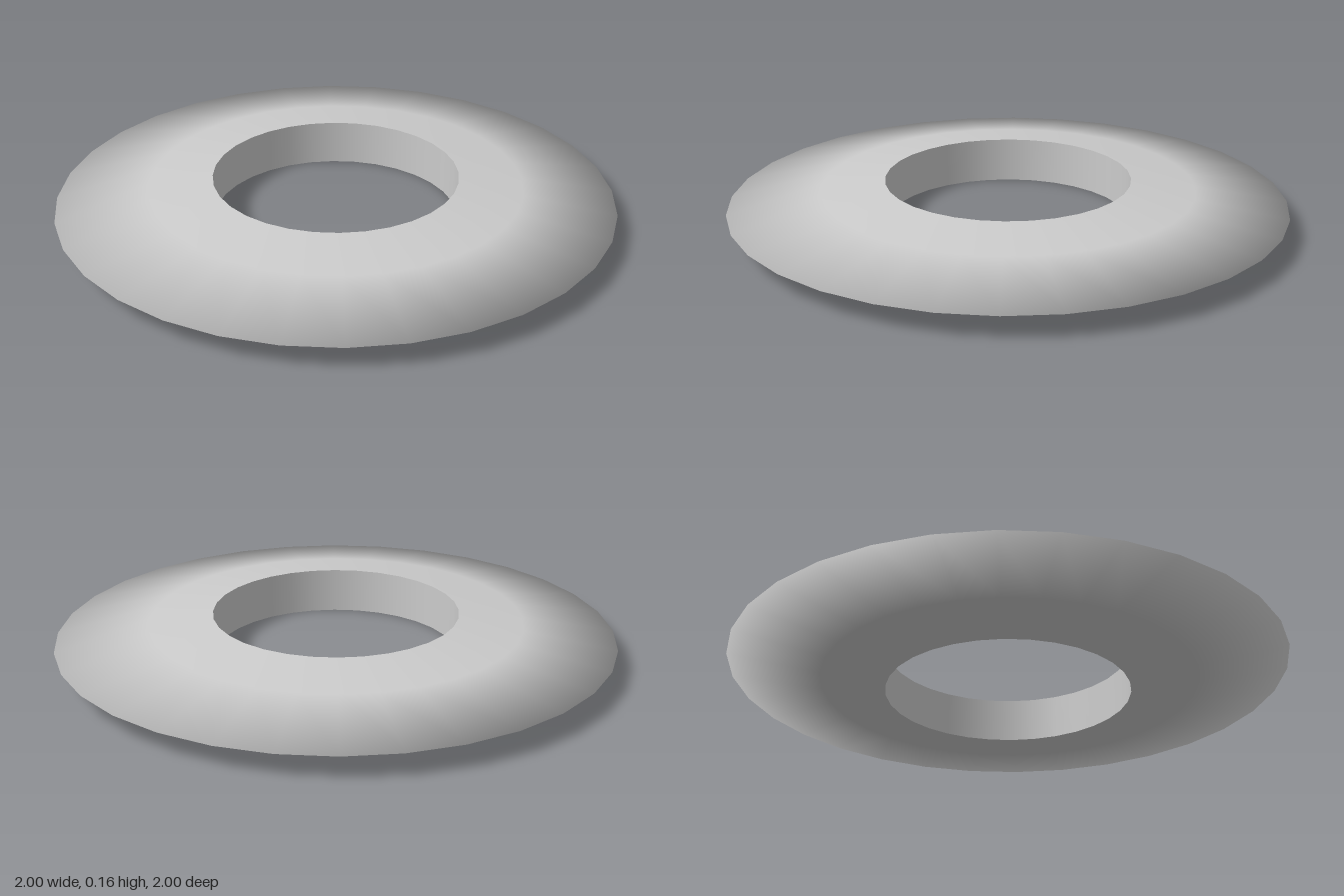
import * as THREE from 'three';

const SIDES = 32;
const INNER = 0.44, OUTER = 1;
const HALF = 0.082; // half of the thickness

export function createModel() {
  const ring = new THREE.Group();
  ring.name = 'flatRing';
  const material = new THREE.MeshStandardMaterial({ color: 0xcccccc });

  const addLathe = (name, profile) => {
    const points = profile.map(([r, y]) => new THREE.Vector2(r, y));
    const mesh = new THREE.Mesh(new THREE.LatheGeometry(points, SIDES), material);
    mesh.name = name;
    ring.add(mesh);
  };

  // Lens-shaped body: tapers from the hole to a thin, smooth-shaded rim
  addLathe('taperedBody', [
    [INNER, 0],
    [0.67, HALF - 0.052],
    [OUTER, HALF],
    [0.67, HALF + 0.052],
    [INNER, HALF * 2],
  ]);

  // Straight wall of the centre hole, kept separate for crisp edges
  addLathe('holeWall', [
    [INNER, HALF * 2],
    [INNER, 0],
  ]);

  return ring;
}
